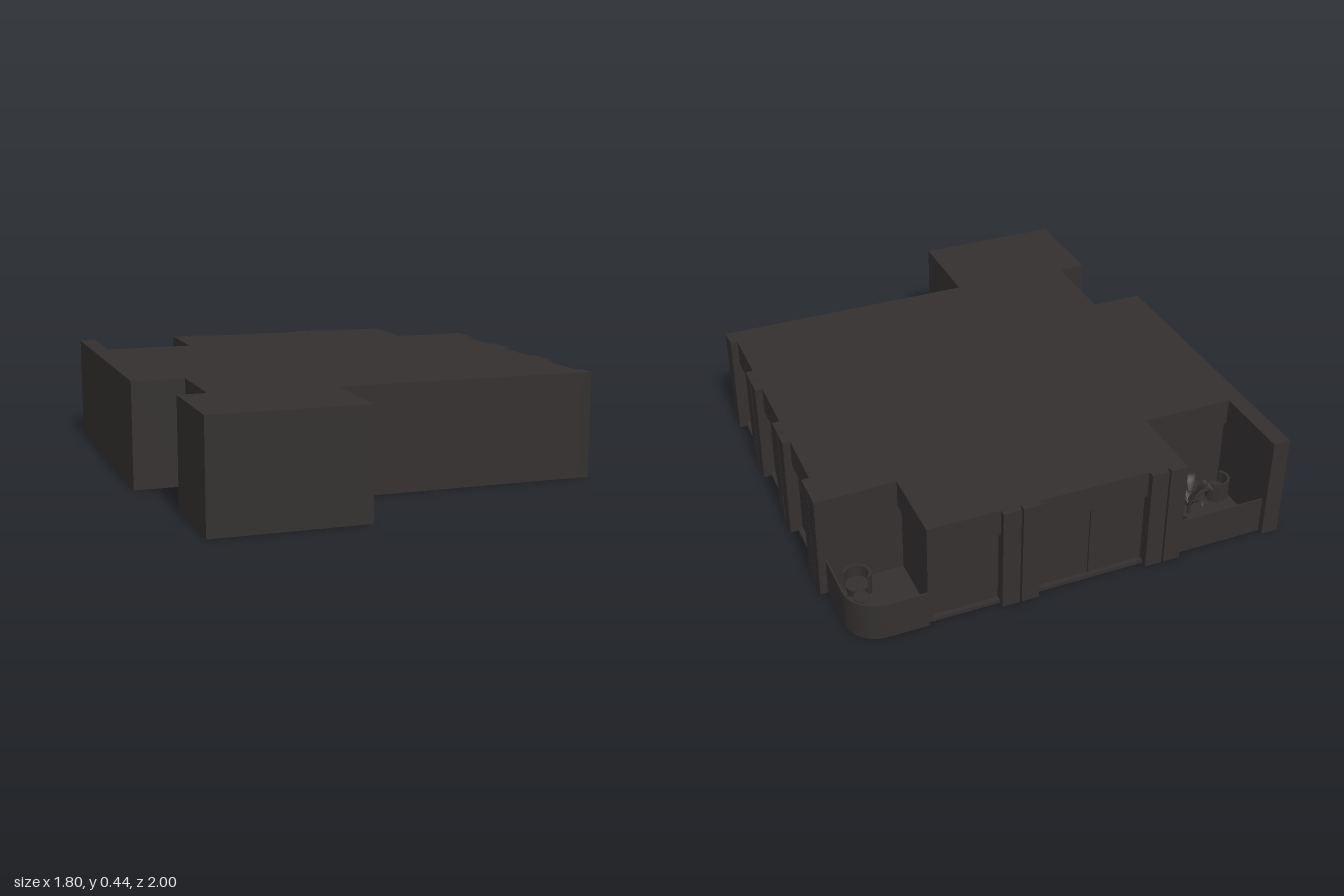
import * as THREE from 'three';

const H = 0.435, LINTEL = 0.325, RAIL = 0.155, FLOOR = 0.015;
const mat = new THREE.MeshStandardMaterial({ color: 0x33302f, side: THREE.DoubleSide });

function add(parent, name, geo) {
  const m = new THREE.Mesh(geo, mat);
  m.name = name;
  parent.add(m);
  return m;
}

// Box given by its limits
function box(parent, name, x0, x1, y0, y1, z0, z1) {
  const g = new THREE.BoxGeometry(x1 - x0, y1 - y0, z1 - z0);
  return add(parent, name, g.translate((x0 + x1) / 2, (y0 + y1) / 2, (z0 + z1) / 2));
}

// Plan outline of [x, z] points raised from y0 to y1
function prism(parent, name, pts, y0, y1) {
  const shape = new THREE.Shape(pts.map(p => new THREE.Vector2(p[0], p[1])));
  const g = new THREE.ExtrudeGeometry(shape, { depth: y1 - y0, bevelEnabled: false });
  return add(parent, name, g.rotateX(Math.PI / 2).translate(0, y1, 0));
}

// Quarter circle around the back left corner
function cornerArc(r, n = 16) {
  return Array.from({ length: n + 1 }, (_, i) => {
    const a = -Math.PI / 2 + (i / n) * Math.PI / 2;
    return [0.74 + r * Math.cos(a), -0.86 + r * Math.sin(a)];
  });
}

// Tub chair: cushion with a curved back shell
function chair(parent, x, z, turn) {
  const g = new THREE.Group();
  g.name = 'chair';
  add(g, 'seat', new THREE.CylinderGeometry(0.045, 0.04, 0.035, 20).translate(0, 0.037, 0));
  const arc = (r, flip) => Array.from({ length: 17 }, (_, i) => {
    const a = Math.PI * (0.95 + 1.1 * (flip ? 16 - i : i) / 16);
    return [r * Math.cos(a), r * Math.sin(a)];
  });
  prism(g, 'backrest', [...arc(0.055), ...arc(0.044, true)], 0.02, 0.105);
  for (const sx of [-1, 1]) for (const sz of [-1, 1])
    add(g, 'leg', new THREE.CylinderGeometry(0.004, 0.003, 0.025, 8).translate(sx * 0.027, 0.0125, sz * 0.027));
  g.position.set(x, FLOOR, z);
  g.rotation.y = turn;
  parent.add(g);
}

function table(parent, x, z) {
  const g = new THREE.Group();
  g.name = 'sideTable';
  add(g, 'top', new THREE.CylinderGeometry(0.03, 0.03, 0.006, 24).translate(0, 0.075, 0));
  add(g, 'stem', new THREE.CylinderGeometry(0.005, 0.005, 0.072, 10).translate(0, 0.036, 0));
  add(g, 'foot', new THREE.CylinderGeometry(0.02, 0.02, 0.005, 20).translate(0, 0.0025, 0));
  g.position.set(x, FLOOR, z);
  parent.add(g);
}

// Leaf blade: a strip that widens, tapers and droops
function leafGeometry(length, width, rise) {
  const g = new THREE.PlaneGeometry(1, 1, 2, 8);
  const p = g.attributes.position;
  for (let i = 0; i < p.count; i++) {
    const t = p.getY(i) + 0.5, s = p.getX(i) * 2;
    const w = width * (0.08 + 0.92 * Math.sin(Math.PI * t ** 1.4));
    p.setXYZ(i, length * t, rise * Math.sin(t * 2.1) + Math.abs(s) * w * 0.25, s * w / 2);
  }
  g.computeVertexNormals();
  return g;
}

function plant(parent, x, z) {
  const g = new THREE.Group();
  g.name = 'plant';
  add(g, 'pot', new THREE.CylinderGeometry(0.034, 0.025, 0.07, 16).translate(0, 0.035, 0));
  add(g, 'stem', new THREE.CylinderGeometry(0.006, 0.008, 0.06, 8).translate(0, 0.095, 0));
  for (let i = 0; i < 10; i++) {
    const leaf = add(g, 'leaf', leafGeometry(0.07 + 0.018 * (i % 3), 0.036, 0.05 + 0.025 * ((i * 2) % 4)));
    leaf.position.y = 0.1 + 0.01 * (i % 2);
    leaf.rotation.y = i * 2.4;
  }
  g.position.set(x, FLOOR, z);
  parent.add(g);
}

export function createModel() {
  const root = new THREE.Group();
  root.name = 'apartment';

  // Main block, set back to the window planes
  prism(root, 'mainBlock', [
    [-0.9, -1], [-0.83, -1], [-0.83, -0.655], [-0.455, -0.655], [-0.455, -0.955], [0.56, -0.955],
    [0.56, -0.655], [0.85, -0.655], [0.85, 0.61], [-0.185, 0.61], [-0.185, 1], [-0.8, 1],
    [-0.8, 0.585], [-0.685, 0.585], [-0.685, 0.23], [-0.9, 0.23],
  ], 0, H);

  // Thin floor under the window recesses and balconies
  prism(root, 'floorSlab', [
    [-0.9, -0.975], [0.58, -0.975], [0.58, -0.99], ...cornerArc(0.13), [0.87, 0.6], [-0.9, 0.2],
  ].slice(0, -1).concat([[-0.185, 0.6], [-0.685, 0.2], [-0.9, 0.2]]), 0, FLOOR);

  // Lintels over the windows
  box(root, 'lintel', 0.85, 0.87, LINTEL, H, -0.67, 0.61);
  box(root, 'lintel', -0.455, 0.58, LINTEL, H, -0.975, -0.955);
  box(root, 'lintel', 0.56, 0.58, LINTEL, H, -0.975, -0.655);
  box(root, 'lintel', 0.56, 0.87, LINTEL, H, -0.67, -0.655);
  box(root, 'lintel', -0.83, -0.455, LINTEL, H, -0.67, -0.655);

  // Paired pilasters with a narrow groove, on the left side and the back
  for (const z of [-0.6, -0.2, 0.2]) {
    box(root, 'pilasterBacking', 0.85, 0.872, 0, H, z - 0.07, z + 0.07);
    for (const s of [-1, 1]) {
      const c = z + s * 0.0395;
      box(root, 'pilaster', 0.85, 0.9, 0, H, c - 0.0355, c + 0.0355);
    }
  }
  box(root, 'pilaster', 0.85, 0.9, 0, H, 0.525, 0.61);
  for (const x of [-0.38, 0.22]) {
    box(root, 'pilasterBacking', x - 0.07, x + 0.07, 0, H, -0.977, -0.955);
    for (const s of [-1, 1]) {
      const c = x + s * 0.0395;
      box(root, 'pilaster', c - 0.0355, c + 0.0355, 0, H, -1, -0.955);
    }
  }
  box(root, 'balconyPier', 0.71, 0.9, 0, H, -0.675, -0.6);
  box(root, 'cornerPost', 0.56, 0.58, 0, H, -0.975, -0.955);

  // Window mullions
  for (const z of [0.07]) box(root, 'mullion', 0.85, 0.858, FLOOR, LINTEL, z - 0.004, z + 0.004);
  box(root, 'mullion', -0.084, -0.076, FLOOR, LINTEL, -0.963, -0.955);

  // Balcony parapets
  box(root, 'backParapet', -0.83, -0.455, 0, RAIL, -0.975, -0.967);
  prism(root, 'roundedParapet', [
    [0.58, -0.99], ...cornerArc(0.13), [0.87, -0.67], [0.862, -0.67],
    ...cornerArc(0.122).reverse(), [0.58, -0.982],
  ], 0, RAIL);

  // Balcony furniture
  chair(root, -0.765, -0.74, 0.6);
  table(root, -0.675, -0.705);
  plant(root, -0.57, -0.86);
  chair(root, 0.775, -0.745, 2.5);
  table(root, 0.79, -0.845);
  return root;
}
